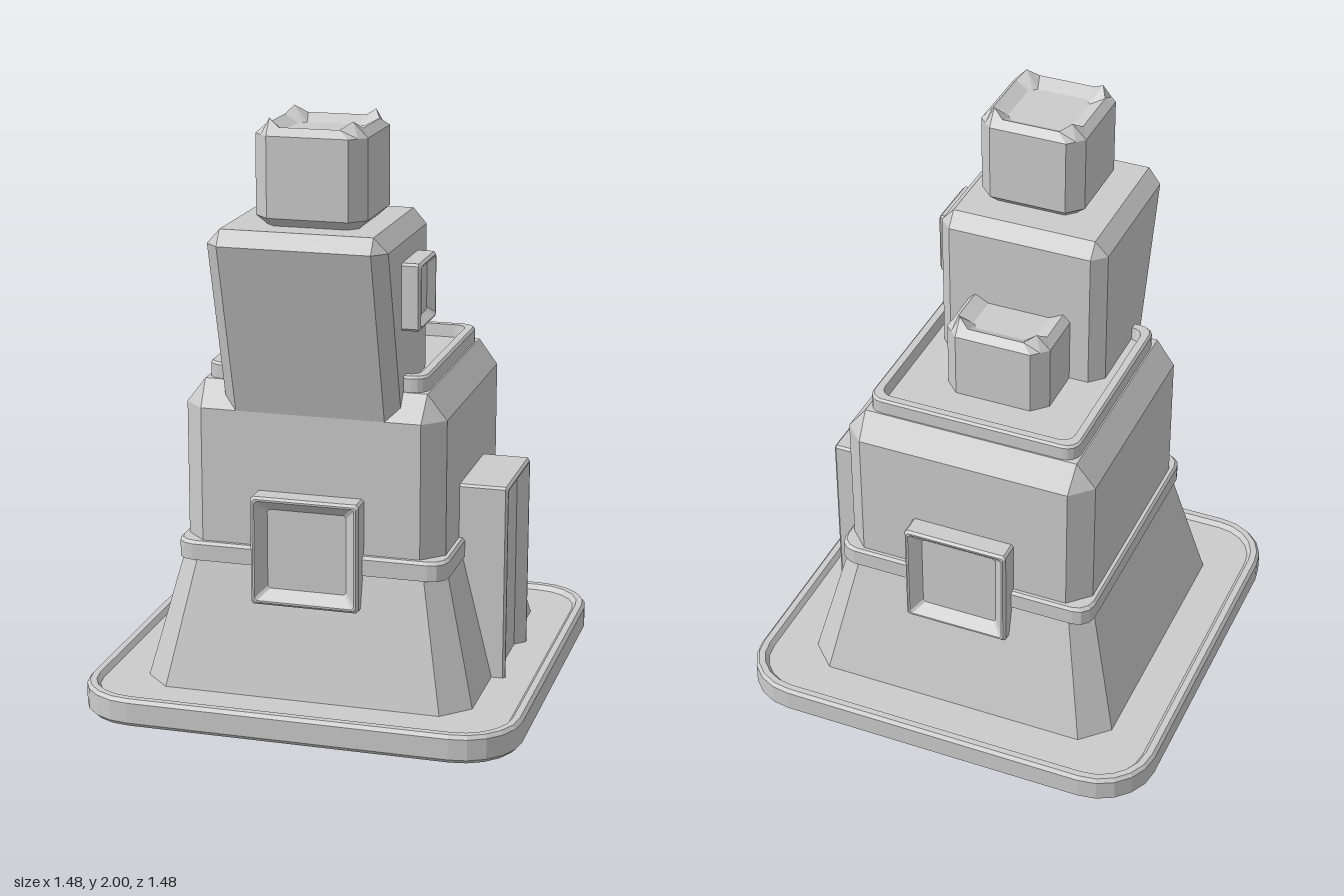
import * as THREE from 'three';

const material = new THREE.MeshStandardMaterial({ color: 0xcccccc, flatShading: true });

// Corner points of a rectangle ring; the corners are cut straight or rounded.
// r: { y, hx, hz, c: corner cut, cx, cz: offset, peak: extra height and mid: position of the corner middle }
function ringPoints(r, arc) {
  const { y, hx, hz = hx, c = 0, cx = 0, cz = 0, peak = 0, mid = c / 2 } = r;
  const corner = [];
  if (arc) {
    for (let i = 0; i <= arc; i++) {
      const a = (i / arc) * Math.PI / 2;
      corner.push([hx - c + c * Math.cos(a), hz - c + c * Math.sin(a), y]);
    }
  } else {
    corner.push([hx, hz - c, y], [hx - mid, hz - mid, y + peak], [hx - c, hz, y]);
  }
  const points = [];
  [[1, 1], [-1, 1], [-1, -1], [1, -1]].forEach(([sx, sz], q) => {
    const list = q % 2 ? corner.slice().reverse() : corner;
    for (const [x, z, h] of list) points.push(new THREE.Vector3(cx + sx * x, h, cz + sz * z));
  });
  return points;
}

// Skin a stack of rings and close both ends
function loft(rings, arc = 0) {
  const loops = rings.map((r) => ringPoints(r, arc));
  const n = loops[0].length;
  const pos = [];
  const tri = (...p) => p.forEach((v) => pos.push(v.x, v.y, v.z));
  const centre = (r) => new THREE.Vector3(r.cx || 0, r.y, r.cz || 0);
  const first = centre(rings[0]), last = centre(rings[rings.length - 1]);
  for (let j = 0; j < n; j++) {
    const k = (j + 1) % n;
    for (let i = 0; i < loops.length - 1; i++) {
      const a = loops[i], b = loops[i + 1];
      tri(a[j], b[j], b[k]);
      tri(a[j], b[k], a[k]);
    }
    const top = loops[loops.length - 1];
    tri(first, loops[0][j], loops[0][k]);
    tri(last, top[k], top[j]);
  }
  const g = new THREE.BufferGeometry();
  g.setAttribute('position', new THREE.Float32BufferAttribute(pos, 3));
  g.computeVertexNormals();
  return g;
}

// Box with a raised frame and a recessed panel, facing +z, its front at z = 0
function framedPanel(w, h, depth, rim, slope, recess) {
  const x = w / 2, z = h / 2, e = 0.008, i = rim + slope;
  return loft([
    { y: -depth, hx: x, hz: z, c: e },
    { y: -e, hx: x, hz: z, c: e },
    { y: 0, hx: x - e, hz: z - e, c: e },
    { y: 0, hx: x - rim, hz: z - rim, c: e },
    { y: -recess, hx: x - i, hz: z - i, c: e },
  ]).rotateX(Math.PI / 2);
}

// Chamfered cube with a dished top and four raised corners
function dishedBlock() {
  return loft([
    { y: 0, hx: 0.15, c: 0.03 },
    { y: 0.03, hx: 0.183, c: 0.05 },
    { y: 0.29, hx: 0.183, c: 0.05 },
    { y: 0.315, hx: 0.158, c: 0.06, peak: 0.025, mid: 0.022 },
    { y: 0.29, hx: 0.11, c: 0.025 },
  ]);
}

export function createModel() {
  const group = new THREE.Group();
  const add = (name, geometry, x = 0, y = 0, z = 0, turn = 0) => {
    const mesh = new THREE.Mesh(geometry, material);
    mesh.name = name;
    mesh.position.set(x, y, z);
    mesh.rotation.y = turn;
    group.add(mesh);
    return mesh;
  };

  // Ground plate with a raised lip
  add('basePlate', loft([
    { y: 0.01, hx: 0.725, c: 0.185 },
    { y: 0.025, hx: 0.74, c: 0.2 },
    { y: 0.095, hx: 0.74, c: 0.2 },
    { y: 0.107, hx: 0.73, c: 0.19 },
    { y: 0.107, hx: 0.708, c: 0.168 },
    { y: 0.09, hx: 0.695, c: 0.155 },
  ], 5));
  add('basePad', new THREE.BoxGeometry(0.94, 0.04, 0.94), 0, 0.02, 0);

  // Flared skirt, band and main body
  add('skirt', loft([
    { y: 0.08, hx: 0.56, c: 0.09 },
    { y: 0.52, hx: 0.45, c: 0.065 },
  ]));
  add('band', loft([
    { y: 0.51, hx: 0.46, c: 0.06 },
    { y: 0.565, hx: 0.46, c: 0.06 },
    { y: 0.575, hx: 0.452, c: 0.06 },
  ], 3));
  add('body', loft([
    { y: 0.55, hx: 0.44, c: 0.07 },
    { y: 1.03, hx: 0.44, c: 0.07 },
    { y: 1.115, hx: 0.375 },
  ]));
  add('roofRim', loft([
    { y: 1.1, hx: 0.37, c: 0.05 },
    { y: 1.16, hx: 0.37, c: 0.05 },
    { y: 1.168, hx: 0.363, c: 0.045 },
    { y: 1.168, hx: 0.338, c: 0.04 },
    { y: 1.125, hx: 0.332, c: 0.04 },
  ], 4));

  // Tower leaning out over the front
  add('tower', loft([
    { y: 1.03, hx: 0.295, hz: 0.2, c: 0.045, cz: 0.24 },
    { y: 1.61, hx: 0.295, hz: 0.288, c: 0.045, cz: 0.327 },
    { y: 1.66, hx: 0.25, hz: 0.25, cz: 0.33 },
  ]));
  add('towerTop', dishedBlock(), 0.02, 1.66, 0.34);
  add('roofBlock', dishedBlock(), 0, 1.06, 0);

  // Windows on tower, front and back, and the tall doorway on the left
  const quarter = Math.PI / 2;
  add('towerWindow', framedPanel(0.215, 0.22, 0.12, 0.012, 0.02, 0.025), 0.357, 1.435, 0.298, quarter);
  add('frontWindow', framedPanel(0.365, 0.37, 0.15, 0.014, 0.035, 0.035), 0, 0.58, 0.513, 0);
  add('backWindow', framedPanel(0.365, 0.37, 0.15, 0.014, 0.035, 0.035), 0, 0.58, -0.513, Math.PI);
  add('doorway', framedPanel(0.365, 0.735, 0.25, 0.014, 0.035, 0.035), 0.603, 0.3925, 0, quarter);

  return group;
}
